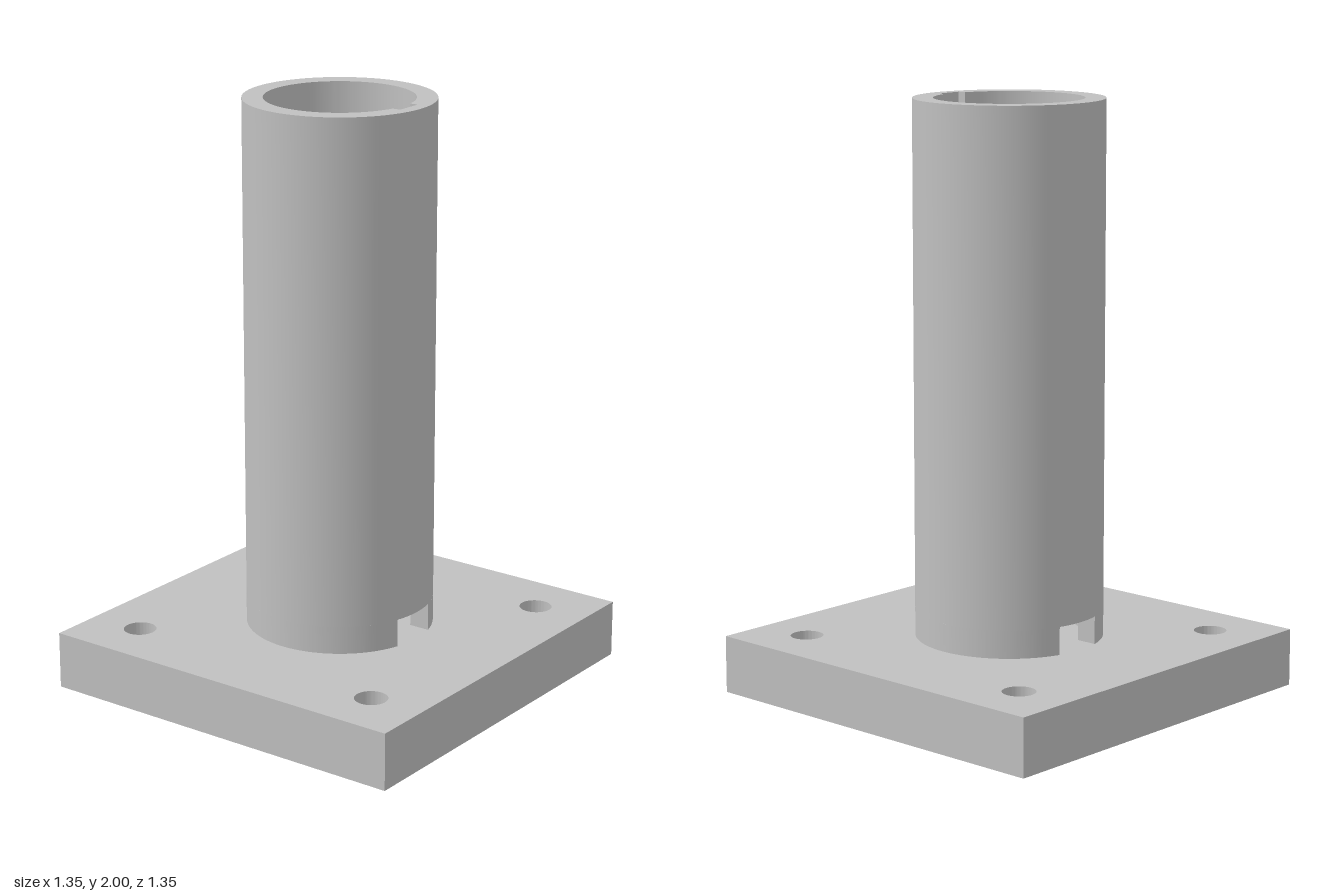
import * as THREE from 'three';
import { toCreasedNormals } from 'three/addons/utils/BufferGeometryUtils.js';

const PLATE = 0.675, PLATE_TOP = 0.195, SLOT_TOP = 0.29, TOP = 2;
const OUTER = 0.317, BORE = 0.248;
const KEY_HALF = 0.048, KEY_X = 0.272, SLOT_HALF = 0.088;
const BOLT = 0.482, BOLT_R = 0.055;

export function createModel() {
  const model = new THREE.Group();
  model.name = 'flangedSocket';
  const steel = new THREE.MeshStandardMaterial({ color: 0xc0c0c0 });
  steel.name = 'grey steel';

  // Extrudes a plan outline upward from y0 to y1
  function addPart(name, shape, y0, y1) {
    const flat = new THREE.ExtrudeGeometry(shape, { depth: y1 - y0, bevelEnabled: false, curveSegments: 64 });
    flat.rotateX(-Math.PI / 2).translate(0, y0, 0);
    const mesh = new THREE.Mesh(toCreasedNormals(flat, 0.5), steel);
    mesh.name = name;
    model.add(mesh);
    return mesh;
  }

  // Square base plate with four bolt holes
  const plate = new THREE.Shape([
    new THREE.Vector2(-PLATE, -PLATE), new THREE.Vector2(PLATE, -PLATE),
    new THREE.Vector2(PLATE, PLATE), new THREE.Vector2(-PLATE, PLATE),
  ]);
  for (const x of [-BOLT, BOLT]) {
    for (const y of [-BOLT, BOLT]) {
      plate.holes.push(new THREE.Path().absarc(x, y, BOLT_R, 0, Math.PI * 2, true));
    }
  }
  addPart('basePlate', plate, 0, PLATE_TOP);

  // Tube with a keyway cut along the bore
  const tube = new THREE.Shape().absarc(0, 0, OUTER, 0, Math.PI * 2, false);
  const keyAngle = Math.asin(KEY_HALF / BORE);
  const bore = new THREE.Path().absarc(0, 0, BORE, keyAngle, Math.PI * 2 - keyAngle, false);
  bore.lineTo(KEY_X, -KEY_HALF);
  bore.lineTo(KEY_X, KEY_HALF);
  bore.closePath();
  tube.holes.push(bore);
  addPart('tube', tube, SLOT_TOP, TOP);

  // Two wall segments at the foot, leaving a drain slot on each side
  const a = Math.asin(SLOT_HALF / OUTER), b = Math.asin(SLOT_HALF / BORE);
  const half = new THREE.Shape().absarc(0, 0, OUTER, a, Math.PI - a, false);
  half.absarc(0, 0, BORE, Math.PI - b, b, true);
  half.closePath();
  addPart('backTubeFoot', half, PLATE_TOP, SLOT_TOP);
  addPart('frontTubeFoot', half, PLATE_TOP, SLOT_TOP).rotation.y = Math.PI;

  return model;
}
